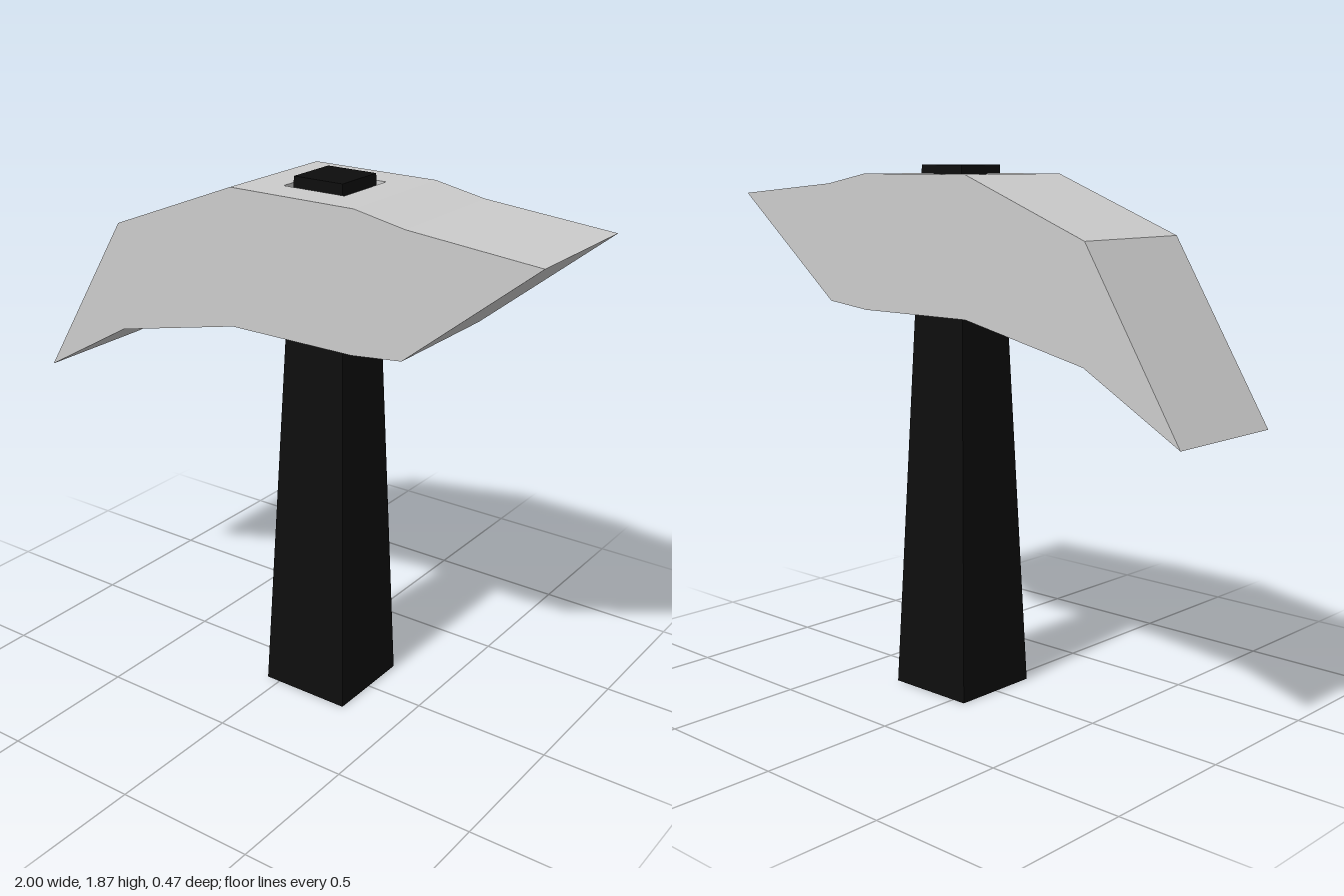
import * as THREE from 'three';

const HANDLE_X = 0.115; // handle axis
const DEPTH = 0.237;    // half thickness of the head
const HOLE = 0.119;     // half width of the socket

// Head outline, counter-clockwise from the drooping tip
const OUTLINE = [
  [-1, 1.05], [-0.63, 1.26], [-0.13, 1.37], [0.35, 1.37], [0.535, 1.39],
  [1, 1.765], [0.535, 1.805], [0.35, 1.84], [-0.13, 1.84], [-0.63, 1.645],
].map(([x, y]) => new THREE.Vector2(x, y));

function headGeometry() {
  const pos = [];
  const quad = (a, b, c, d) => pos.push(...a, ...b, ...c, ...a, ...c, ...d);

  // Front and back cheeks
  for (const [a, b, c] of THREE.ShapeUtils.triangulateShape(OUTLINE, [])) {
    for (const i of [a, b, c]) pos.push(OUTLINE[i].x, OUTLINE[i].y, DEPTH);
    for (const i of [c, b, a]) pos.push(OUTLINE[i].x, OUTLINE[i].y, -DEPTH);
  }

  // Rim, leaving a square opening in the two flat stretches
  OUTLINE.forEach((p, i) => {
    const q = OUTLINE[(i + 1) % OUTLINE.length];
    const outer = [[p.x, p.y, DEPTH], [p.x, p.y, -DEPTH], [q.x, q.y, -DEPTH], [q.x, q.y, DEPTH]];
    if (i !== 2 && i !== 7) return quad(...outer);
    const s = Math.sign(q.x - p.x) * HOLE;
    const inner = [
      [HANDLE_X - s, p.y, HOLE], [HANDLE_X - s, p.y, -HOLE],
      [HANDLE_X + s, p.y, -HOLE], [HANDLE_X + s, p.y, HOLE],
    ];
    for (let k = 0; k < 4; k++) {
      const n = (k + 1) % 4;
      quad(outer[k], outer[n], inner[n], inner[k]);
    }
  });

  // Socket walls, facing the handle
  const ring = [[-1, -1], [1, -1], [1, 1], [-1, 1]];
  ring.forEach(([ax, az], k) => {
    const [bx, bz] = ring[(k + 1) % 4];
    const at = (x, y, z) => [HANDLE_X + x * HOLE, y, z * HOLE];
    quad(at(ax, 1.37, az), at(bx, 1.37, bz), at(bx, 1.84, bz), at(ax, 1.84, az));
  });

  const geometry = new THREE.BufferGeometry();
  geometry.setAttribute('position', new THREE.Float32BufferAttribute(pos, 3));
  geometry.computeVertexNormals();
  return geometry;
}

export function createModel() {
  const model = new THREE.Group();
  model.name = 'pickHammer';

  const head = new THREE.Mesh(
    headGeometry(),
    new THREE.MeshStandardMaterial({ color: 0xcccccc, flatShading: true }),
  );
  head.name = 'head';

  // Square tapered handle passing through the head
  const height = 1.87;
  const handleGeometry = new THREE.CylinderGeometry(0.095 * Math.SQRT2, 0.168 * Math.SQRT2, height, 4);
  handleGeometry.rotateY(Math.PI / 4);
  const handle = new THREE.Mesh(
    handleGeometry,
    new THREE.MeshStandardMaterial({ color: 0x0d0d0d, flatShading: true }),
  );
  handle.name = 'handle';
  handle.position.set(HANDLE_X, height / 2, 0);

  model.add(head, handle);
  return model;
}
